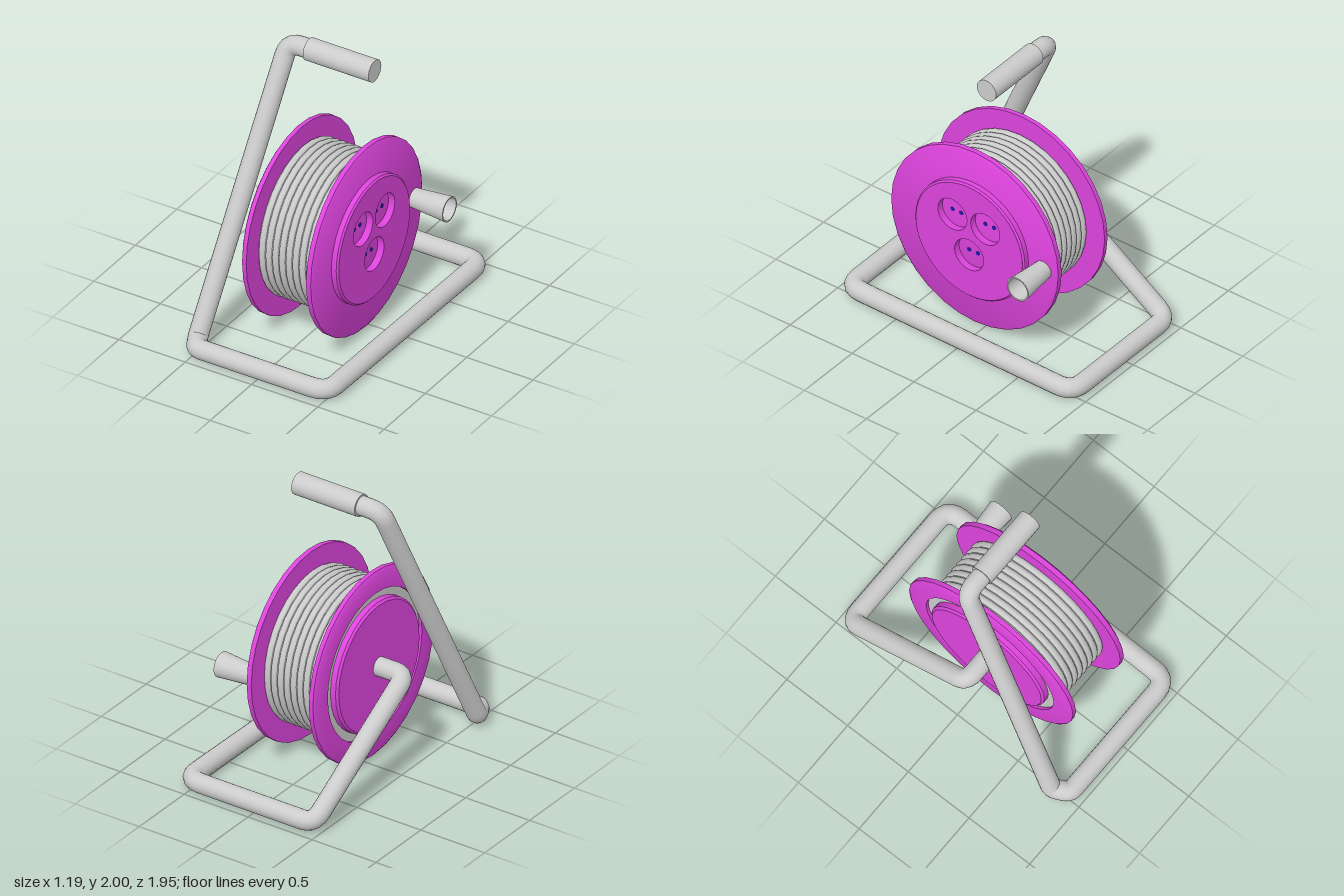
import * as THREE from 'three';
import { toCreasedNormals } from 'three/addons/utils/BufferGeometryUtils.js';

const AXIS_Y = 0.707, AXIS_Z = 0.062, SIDES = 32;
const grey = new THREE.MeshStandardMaterial({ color: 0xcccccc });
const purple = new THREE.MeshStandardMaterial({ color: 0xdd44dd });
const blue = new THREE.MeshStandardMaterial({ color: 0x2222cc });

// Straight runs joined by rounded corners; each sample becomes one tube ring
class BentPath extends THREE.Curve {
  constructor(corners) {
    super();
    const v = corners.map(c => new THREE.Vector3(c[0], c[1], c[2]));
    this.pts = [v[0]];
    for (let i = 1; i < v.length - 1; i++) {
      const trim = corners[i][3];
      const a = v[i].clone().add(v[i - 1].clone().sub(v[i]).setLength(trim));
      const b = v[i].clone().add(v[i + 1].clone().sub(v[i]).setLength(trim));
      this.pts.push(...new THREE.QuadraticBezierCurve3(a, v[i], b).getPoints(5));
    }
    this.pts.push(v[v.length - 1]);
  }
  getPointAt(t) {
    return this.pts[Math.round(t * (this.pts.length - 1))].clone();
  }
  getTangentAt(t) {
    const p = this.pts, i = Math.round(t * (p.length - 1)), dir = new THREE.Vector3();
    if (i > 0) dir.add(p[i].clone().sub(p[i - 1]).normalize());
    if (i < p.length - 1) dir.add(p[i + 1].clone().sub(p[i]).normalize());
    return dir.normalize();
  }
}

function add(parent, name, geometry, material, x = 0, y = 0, z = 0) {
  const mesh = new THREE.Mesh(geometry, material);
  mesh.name = name;
  mesh.position.set(x, y, z);
  parent.add(mesh);
  return mesh;
}

// Profile of [radius, x] pairs turned about the x axis
function turned(profile, sides = SIDES) {
  const g = new THREE.LatheGeometry(profile.map(p => new THREE.Vector2(p[0], p[1])), sides);
  return toCreasedNormals(g.rotateZ(-Math.PI / 2), 0.6);
}

function circle(type, x, y, r) {
  return new type().absarc(x, y, r, 0, Math.PI * 2);
}

export function createModel() {
  const model = new THREE.Group();

  // One continuous bent tube: top bar, upright, base loop, rising arm, axle
  const path = new BentPath([
    [-0.15, 1.922, -0.035],
    [-0.365, 1.922, -0.035, 0.09],
    [-0.53, 0.075, 0.80, 0.04],
    [-0.475, 0.068, 0.907, 0.04],
    [0.51, 0.068, 0.907, 0.11],
    [0.535, 0.068, -0.917, 0.11],
    [-0.455, 0.068, -0.917, 0.09],
    [-0.485, AXIS_Y, AXIS_Z, 0.08],
    [-0.25, AXIS_Y, AXIS_Z],
  ]);
  add(model, 'tubeFrame', new THREE.TubeGeometry(path, path.pts.length - 1, 0.066, 20), grey);

  const grip = new THREE.CylinderGeometry(0.078, 0.078, 0.495, 24).rotateZ(Math.PI / 2);
  add(model, 'carryGrip', grip, grey, 0.0375, 1.922, -0.035);

  const drum = new THREE.Group();
  drum.name = 'drum';
  drum.position.set(0, AXIS_Y, AXIS_Z);
  model.add(drum);

  // Core and wound cable
  add(drum, 'core', turned([[0, -0.225], [0.525, -0.225], [0.525, 0.25], [0, 0.25]]), grey);
  for (let i = 0; i < 9; i++) {
    const ring = new THREE.TorusGeometry(0.513, 0.027, 10, SIDES).rotateY(Math.PI / 2);
    add(drum, 'cableTurn', ring, grey, -0.179 + i * 0.0506);
  }

  // Flange on the axle side has an opening around its hub plate
  add(drum, 'axleFlange', turned([
    [0.525, -0.247], [0.655, -0.247], [0.675, -0.235],
    [0.675, -0.204], [0.525, -0.204], [0.525, -0.247],
  ]), purple);
  add(drum, 'hubPlate', turned([
    [0, -0.28], [0.45, -0.28], [0.465, -0.265], [0.465, -0.21],
  ]), purple);
  add(drum, 'socketFlange', turned([
    [0, 0.247], [0.675, 0.247], [0.675, 0.282], [0.655, 0.294], [0, 0.294],
  ]), purple);

  // Socket panel: bevelled rim around a plate with three round recesses
  add(drum, 'panelRim', turned([[0.4425, 0.29], [0.4425, 0.33], [0.43, 0.342]], 48), purple);
  const face = circle(THREE.Shape, 0, 0, 0.43);
  const sockets = [[-0.135, 0.155], [0.13, 0.155], [0, -0.107]];
  for (const [x, y] of sockets) face.holes.push(circle(THREE.Path, x, y, 0.117));
  const panel = new THREE.ExtrudeGeometry(face, { depth: 0.05, bevelEnabled: false, curveSegments: 48 });
  add(drum, 'socketPanel', toCreasedNormals(panel.rotateY(Math.PI / 2), 0.6), purple, 0.292);
  for (const [x, y] of sockets) {
    for (const side of [-1, 1]) {
      const pin = new THREE.CylinderGeometry(0.014, 0.014, 0.008, 12).rotateZ(Math.PI / 2);
      add(drum, 'contact', pin, blue, 0.296, y, -x + side * 0.035);
    }
  }

  // Hollow flared winding knob
  add(drum, 'windingKnob', turned([
    [0.066, 0.29], [0.088, 0.56], [0.078, 0.56], [0.058, 0.3], [0, 0.3],
  ], 24), grey, 0, 0, -0.56);

  return model;
}
